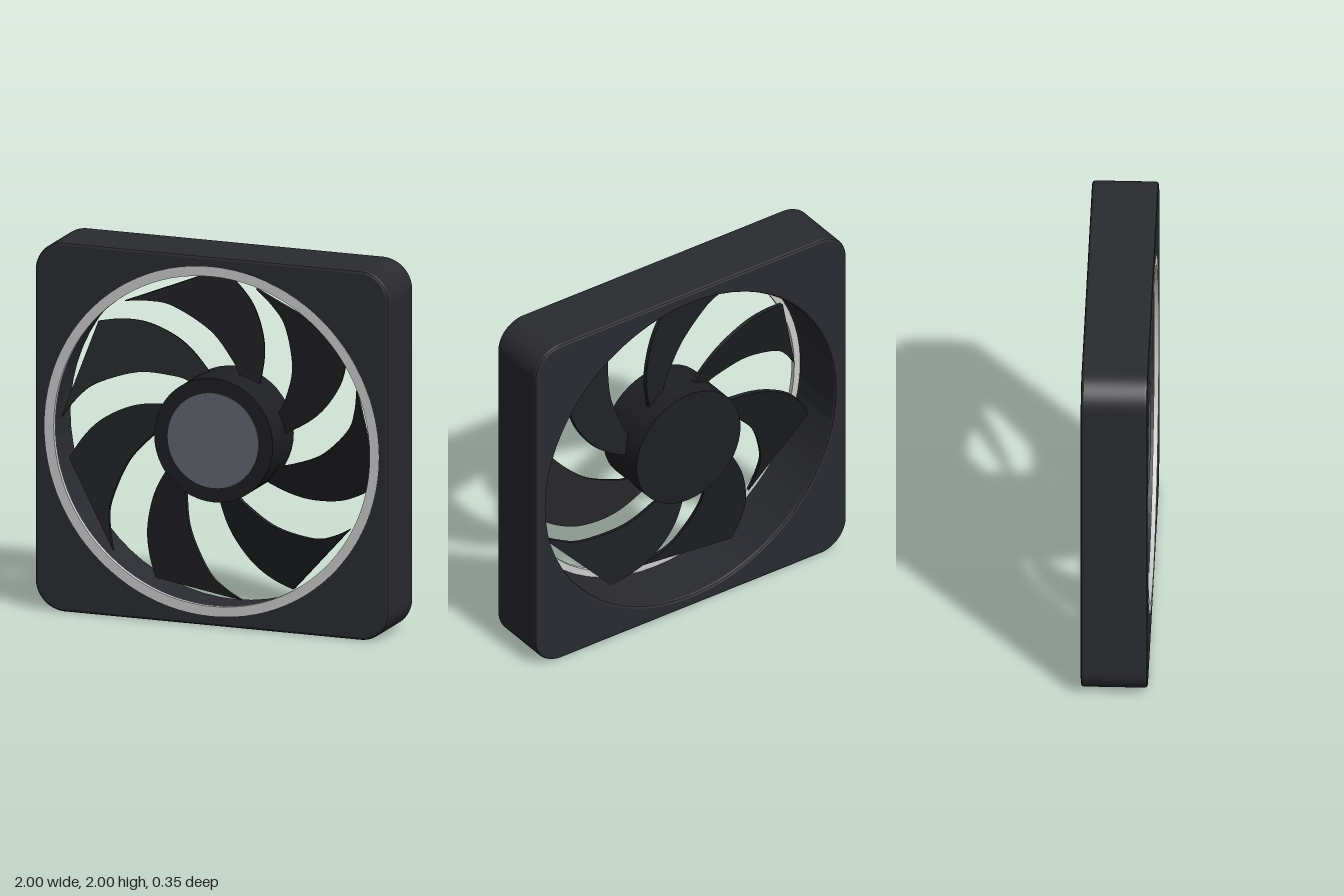
import * as THREE from 'three';

const mat = (color) => new THREE.MeshStandardMaterial({ color });
const frameMat = mat(0x2a2b30);
const hubMat = mat(0x1e1f22);
const bladeMat = mat(0x1e1f22);
const ringMat = mat(0xcccccc);
const capMat = mat(0x62656e);

function part(name, geometry, material) {
  const mesh = new THREE.Mesh(geometry, material);
  mesh.name = name;
  return mesh;
}

// Extrude a shape so that it is centred on z = 0
function slab(shape, depth, bevel, curveSegments) {
  const geometry = new THREE.ExtrudeGeometry(shape, {
    depth: depth - 2 * bevel,
    bevelEnabled: bevel > 0,
    bevelSize: bevel,
    bevelThickness: bevel,
    bevelSegments: 2,
    curveSegments,
  });
  return geometry.translate(0, 0, -(depth - 2 * bevel) / 2);
}

function circlePath(radius) {
  return new THREE.Path().absarc(0, 0, radius, 0, Math.PI * 2, true);
}

// Square housing with rounded corners and a round opening
function frameGeometry() {
  const bevel = 0.015, h = 1 - bevel, r = 0.15, c = h - r;
  const shape = new THREE.Shape();
  [[c, c], [-c, c], [-c, -c], [c, -c]].forEach(([x, y], i) => {
    shape.absarc(x, y, r, i * Math.PI / 2, (i + 1) * Math.PI / 2, false);
  });
  shape.closePath();
  shape.holes.push(circlePath(0.946));
  return slab(shape, 0.35, bevel, 32);
}

// Swept blade with two curved edges and a straight tip
function bladeGeometry(tilt) {
  const v = (x, y) => new THREE.Vector2(x / Math.cos(tilt), y);
  const shape = new THREE.Shape();
  shape.moveTo(0.16 / Math.cos(tilt), 0.2);
  shape.splineThru([v(0.187, 0.28), v(0.21, 0.43), v(0.2, 0.56), v(0.155, 0.7), v(0.08, 0.81), v(-0.01, 0.895)]);
  shape.lineTo(-0.51 / Math.cos(tilt), 0.705);
  shape.splineThru([v(-0.39, 0.71), v(-0.26, 0.685), v(-0.07, 0.56), v(0.04, 0.41), v(0.08, 0.32), v(0.09, 0.22)]);
  shape.closePath();
  return slab(shape, 0.02, 0, 6).rotateY(tilt);
}

export function createModel() {
  const model = new THREE.Group();
  model.name = 'coolingFan';
  const body = new THREE.Group();
  body.name = 'fanBody';
  body.position.y = 1;
  model.add(body);

  body.add(part('frame', frameGeometry(), frameMat));

  // Pale ring set into the front of the opening
  const ringShape = new THREE.Shape().absarc(0, 0, 0.945, 0, Math.PI * 2, false);
  ringShape.holes.push(circlePath(0.893));
  const ring = part('frontRing', slab(ringShape, 0.025, 0, 48), ringMat);
  ring.position.z = 0.1635;
  body.add(ring);

  // Rotor: hub, cap and seven blades
  const rotor = new THREE.Group();
  rotor.name = 'rotor';
  body.add(rotor);
  rotor.add(part('hub', new THREE.CylinderGeometry(0.335, 0.335, 0.3, 48).rotateX(Math.PI / 2), hubMat));
  const cap = part('hubCap', new THREE.CylinderGeometry(0.257, 0.257, 0.01, 48).rotateX(Math.PI / 2), capMat);
  cap.position.z = 0.151;
  rotor.add(cap);

  const blade = bladeGeometry(0.24);
  const count = 7;
  for (let i = 0; i < count; i++) {
    const mesh = part('blade' + (i + 1), blade, bladeMat);
    mesh.rotation.z = (i / count) * Math.PI * 2;
    rotor.add(mesh);
  }
  return model;
}
